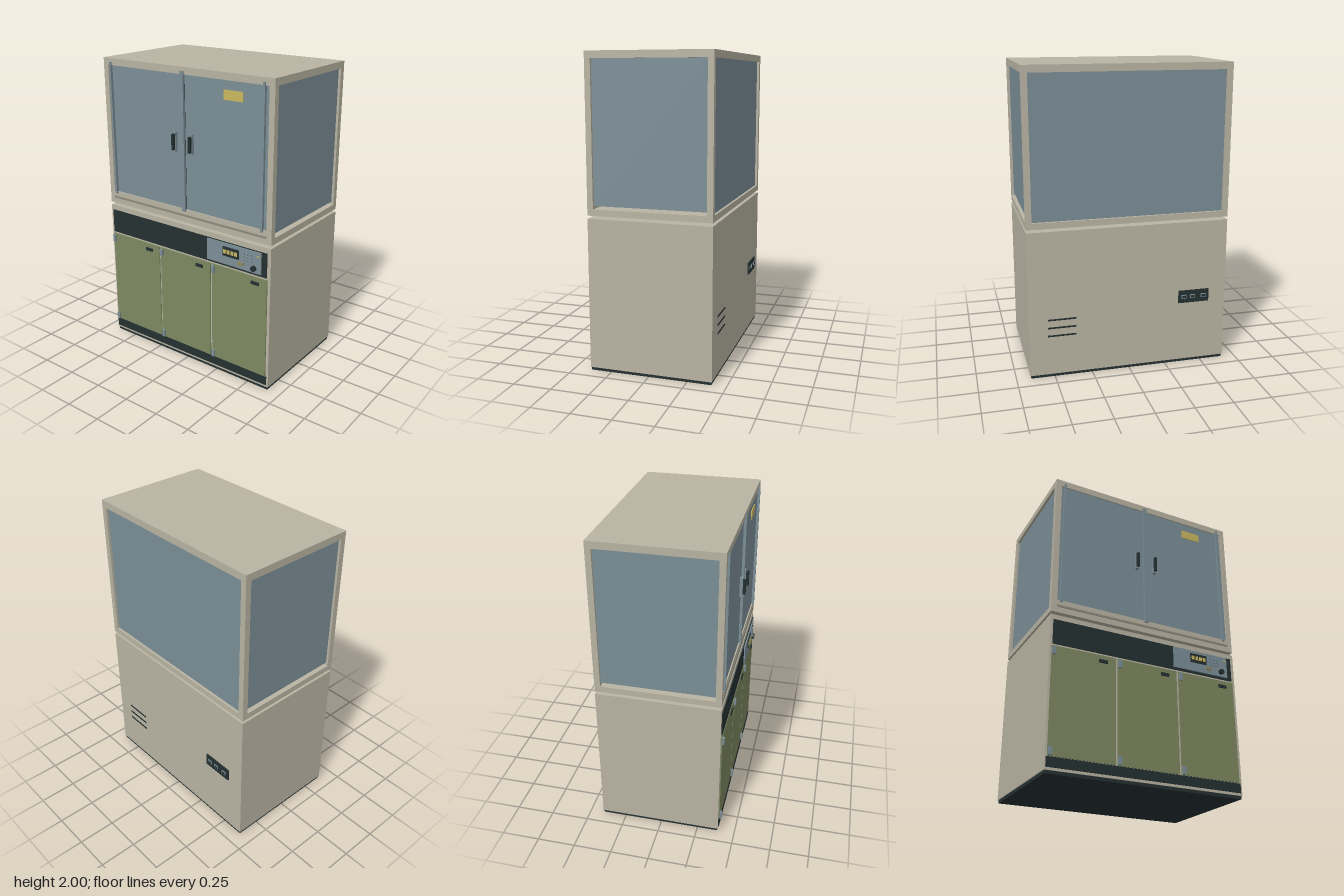
import * as THREE from 'three';

const mat = (name, hex) => {
  const m = new THREE.MeshStandardMaterial({ color: hex });
  m.name = name;
  return m;
};

export function createModel() {
  const cream = mat('cream enamel', 0xb8b3a2);
  const glass = mat('blue grey', 0x7b8e96);
  const olive = mat('olive', 0x7d8760);
  const dark = mat('charcoal', 0x243031);
  const yellow = mat('yellow', 0xc9b860);
  const bronze = mat('dull olive', 0x8d8a5c);
  const shade = mat('dark cream', 0x8f8a7c);

  const model = new THREE.Group();
  model.name = 'cabinet';

  // Box given by its minimum and maximum corners
  const box = (name, m, x0, x1, y0, y1, z0, z1) => {
    const mesh = new THREE.Mesh(new THREE.BoxGeometry(x1 - x0, y1 - y0, z1 - z0), m);
    mesh.position.set((x0 + x1) / 2, (y0 + y1) / 2, (z0 + z1) / 2);
    mesh.name = name;
    model.add(mesh);
    return mesh;
  };
  // Round part facing the front
  const disc = (name, m, x, y, r, z0, z1) => {
    const mesh = new THREE.Mesh(new THREE.CylinderGeometry(r, r, z1 - z0, 20), m);
    mesh.rotation.x = Math.PI / 2;
    mesh.position.set(x, y, (z0 + z1) / 2);
    mesh.name = name;
    model.add(mesh);
  };

  const W = 0.662, B = -0.41, F = 0.39;

  // Lower cabinet
  box('base', dark, -W + 0.006, W - 0.006, 0, 0.02, B + 0.005, F - 0.005);
  box('lowerBody', cream, -W, W, 0.02, 0.985, B, F);
  box('kickPlate', dark, -0.654, 0.65, 0.036, 0.096, F, 0.395);

  // Three doors with hinges and recessed pulls
  const doors = [[-0.648, -0.225], [-0.212, 0.208], [0.222, 0.642]];
  for (const [x0, x1] of doors) {
    box('lowerDoor', olive, x0, x1, 0.099, 0.775, F, 0.397);
    box('doorPull', dark, x1 - 0.115, x1 - 0.057, 0.725, 0.745, 0.397, 0.405);
    for (const y of [0.127, 0.741]) {
      box('doorHinge', glass, x0 + 0.002, x0 + 0.024, y - 0.024, y + 0.024, 0.396, 0.41);
    }
  }

  // Control fascia
  box('fascia', dark, -0.644, 0.637, 0.788, 0.95, F, 0.396);
  for (let i = 0; i < 7; i++) {
    const x = -0.55 + i * 0.032;
    box('fasciaVent', dark, x, x + 0.018, 0.866, 0.874, 0.396, 0.4);
  }
  box('controlPanel', glass, 0.19, 0.6, 0.803, 0.946, 0.396, 0.404);
  box('display', dark, 0.314, 0.437, 0.862, 0.924, 0.404, 0.409);
  for (let i = 0; i < 4; i++) {
    const x = 0.322 + i * 0.0285;
    box('displayDigit', yellow, x, x + 0.02, 0.88, 0.906, 0.409, 0.412);
  }
  for (let r = 0; r < 3; r++) {
    for (let c = 0; c < 3; c++) {
      const x = 0.463 + c * 0.026, y = 0.868 + r * 0.02;
      box('key', glass, x, x + 0.018, y, y + 0.013, 0.404, 0.41);
    }
  }
  box('button', bronze, 0.431, 0.471, 0.828, 0.848, 0.404, 0.412);
  disc('indicator', yellow, 0.579, 0.919, 0.006, 0.404, 0.41);
  disc('knob', dark, 0.55, 0.835, 0.018, 0.404, 0.42);

  // Socket plate and louvres on the back
  box('socketPlate', dark, -0.545, -0.335, 0.43, 0.515, B - 0.009, B);
  for (const x of [-0.507, -0.432, -0.371]) {
    box('socket', glass, x - 0.017, x + 0.017, 0.46, 0.486, B - 0.014, B - 0.009);
    box('socketInsert', dark, x - 0.012, x + 0.012, 0.465, 0.481, B - 0.016, B - 0.014);
  }
  for (const y of [0.287, 0.342, 0.397]) {
    box('louvre', dark, 0.355, 0.54, y - 0.005, y + 0.005, B - 0.004, B);
  }

  // Upper cabinet frame
  const P = 0.038, y0 = 1.005, y1 = 2;
  box('upperFloor', cream, -W, W, y0, 1.045, B, F);
  box('upperRoof', cream, -W, W, 1.955, y1, B, F);
  for (const s of [-1, 1]) {
    const [xa, xb] = s > 0 ? [W - P, W] : [-W, -W + P];
    box('frontPost', cream, xa, xb, 1.045, 1.955, F - P, F);
    box('backPost', cream, xa, xb, 1.045, 1.955, B, B + P);
    // Side panes stop just above the floor
    const xc = s * (W - 0.02);
    box('sideGlass', glass, xc - 0.004, xc + 0.004, 1.064, 1.955, B + P, F - P);
  }
  box('frontSill', cream, -W + P, W - P, 1.045, 1.092, F - P, F);
  box('sillGroove', shade, -0.625, 0.625, 1.043, 1.057, F, F + 0.003);
  box('backGlass', glass, -W + P, W - P, 1.045, 1.955, B + 0.016, B + 0.024);
  box('floorVent', dark, -0.07, 0.07, 1.045, 1.064, -0.22, -0.08);

  // Glass doors, with hinge rods and the centre strip
  for (const s of [-1, 1]) {
    box('glassDoor', glass, s > 0 ? 0 : -W + P, s > 0 ? W - P : 0, 1.092, 1.955, F - 0.016, F - 0.008);
  }
  for (const [x, w] of [[-0.6, 0.013], [-0.003, 0.026], [0.594, 0.013]]) {
    box('doorRod', glass, x - w / 2, x + w / 2, 1.08, 1.975, F - 0.01, 0.4);
  }
  box('doorSeam', dark, 0.0095, 0.0115, 1.092, 1.955, F - 0.01, F - 0.007);

  // Pull handles on end brackets
  for (const x of [-0.067, 0.064]) {
    box('handleBar', dark, x - 0.008, x + 0.008, 1.48, 1.582, 0.4, 0.42);
    box('handlePlate', glass, x - 0.011, x + 0.011, 1.467, 1.595, F - 0.01, 0.402);
  }
  box('label', yellow, 0.304, 0.443, 1.839, 1.898, F - 0.008, F - 0.003);

  return model;
}
